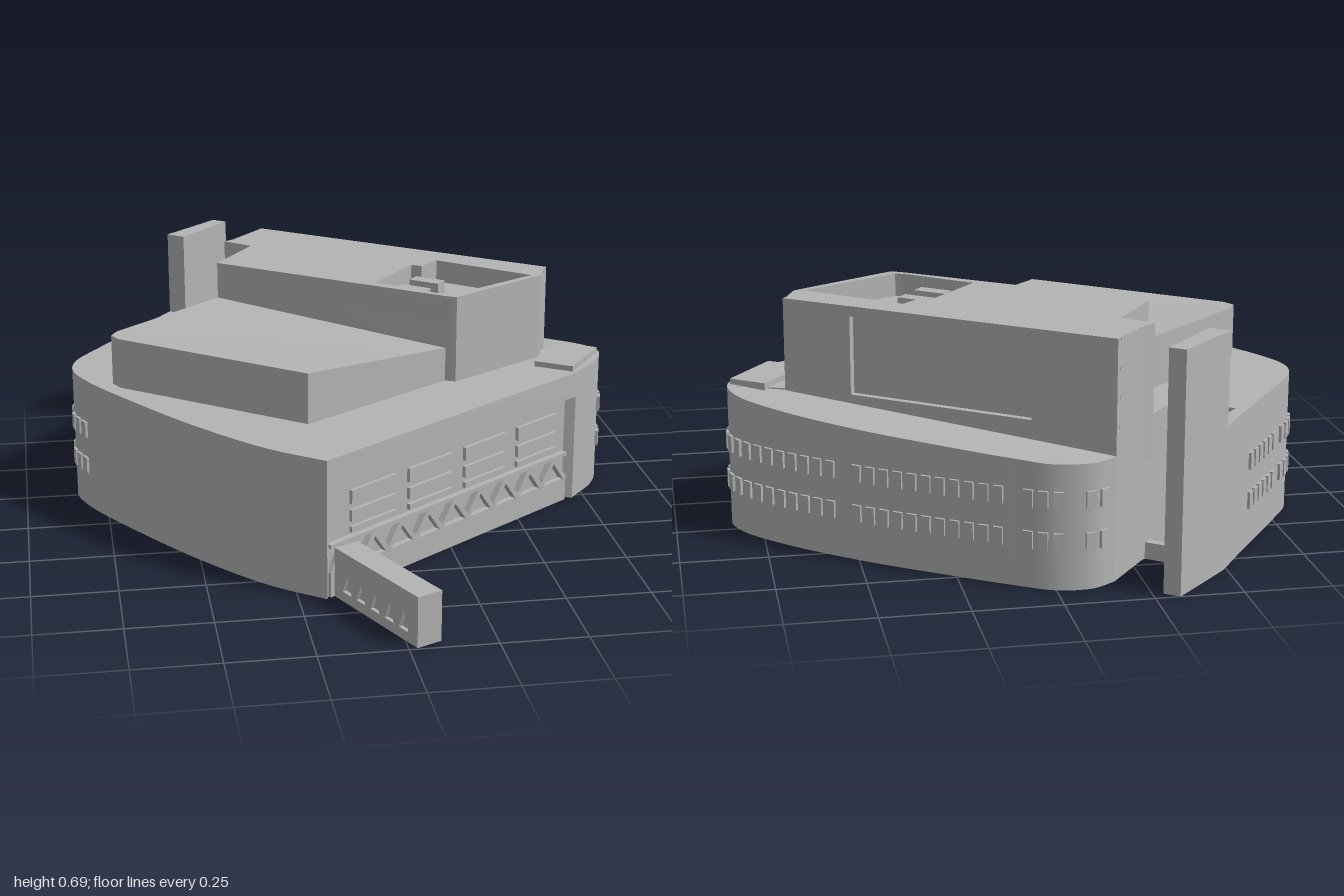
import * as THREE from 'three';
import { toCreasedNormals } from 'three/addons/utils/BufferGeometryUtils.js';

const concrete = new THREE.MeshStandardMaterial({ color: 0xb4b4b4 });
concrete.name = 'concrete grey';

const shapeOf = (pts, flip = 1) => new THREE.Shape(pts.map(([a, b]) => new THREE.Vector2(a, b * flip)));

function add(parent, name, geometry) {
  const mesh = new THREE.Mesh(geometry, concrete);
  mesh.name = name;
  parent.add(mesh);
  return mesh;
}

// Upright prism over a plan outline of [x, z] points; topAt may give a sloping top
function prism(parent, name, pts, y0, y1, { hole, topAt } = {}) {
  const shape = shapeOf(pts, -1);
  if (hole) shape.holes.push(shapeOf(hole, -1));
  const g = new THREE.ExtrudeGeometry(shape, { depth: y1 - y0, bevelEnabled: false });
  g.rotateX(-Math.PI / 2).translate(0, y0, 0);
  if (topAt) {
    const p = g.attributes.position;
    for (let i = 0; i < p.count; i++) {
      if (p.getY(i) > y1 - 1e-4) p.setY(i, topAt(p.getX(i), p.getZ(i)));
    }
  }
  return add(parent, name, toCreasedNormals(g, 0.45));
}

// Group whose local x runs along a wall and local z points out of it
function wallGroup(parent, name, x, z, nx, nz) {
  const group = new THREE.Group();
  group.name = name;
  group.position.set(x, 0, z);
  group.rotation.y = Math.atan2(nx, nz);
  parent.add(group);
  return group;
}

function box(parent, name, w, h, d, x, y, z) {
  const mesh = add(parent, name, new THREE.BoxGeometry(w, h, d));
  mesh.position.set(x, y, z);
  return mesh;
}

const curveOf = (pts) => new THREE.CatmullRomCurve3(pts.map(([x, z]) => new THREE.Vector3(x, 0, z)), false, 'centripetal');

// Two rows of windows along a curved wall
function windows(parent, name, curve, from, to, count, side, skip) {
  for (let i = 0; i < count; i++) {
    if (skip.includes(i)) continue;
    const u = from + (to - from) * i / (count - 1);
    const p = curve.getPointAt(u), t = curve.getTangentAt(u);
    const bay = wallGroup(parent, name, p.x, p.z, -t.z * side, t.x * side);
    for (const y of [0.14, 0.258]) box(bay, 'window', 0.028, 0.05, 0.016, 0, y, 0);
  }
}

export function createModel() {
  const model = new THREE.Group();
  model.name = 'building';

  // Curved outer walls, both from front to back
  const leftCurve = curveOf([[-0.17, 0.65], [-0.32, 0.53], [-0.5, 0.32], [-0.68, 0.06], [-0.8, -0.14],
    [-0.838, -0.25], [-0.825, -0.34], [-0.75, -0.46], [-0.6, -0.67], [-0.49, -0.83]]);
  const rightCurve = curveOf([[0.71, 0.02], [0.8, -0.09], [0.835, -0.18], [0.81, -0.27], [0.7, -0.4],
    [0.5, -0.57], [0.3, -0.71], [0.1, -0.84], [0, -0.895], [-0.1, -0.9], [-0.17, -0.86]]);
  const leftPts = leftCurve.getPoints(54).map((p) => [p.x, p.z]);
  const rightPts = rightCurve.getPoints(60).map((p) => [p.x, p.z]);
  const split = 12; // where the sloping back roof starts

  // Main storeys, with the front set back under the roof edge and a notch for the court
  const court = [[-0.45, -0.79], [-0.56, -0.67], [-0.42, -0.55], [-0.31, -0.69], [-0.28, -0.72]];
  const plan = [...leftPts, ...court, [-0.17, -0.86], [0.66, -0.24], ...rightPts.slice(0, split + 1).reverse()];
  prism(model, 'lowerStoreys', [...plan, [0.678, 0.011], [-0.158, 0.617]], 0, 0.34);
  prism(model, 'roofBand', plan, 0.34, 0.42);
  prism(model, 'backWing', [[0.66, -0.24], ...rightPts.slice(split)], 0, 0.42, {
    topAt: (x, z) => 0.42 - 0.06 * THREE.MathUtils.clamp((-0.18 - z) / 0.7, 0, 1),
  });
  prism(model, 'courtSill', [[-0.49, -0.83], [-0.47, -0.84], [-0.29, -0.7], [-0.31, -0.68]], 0, 0.05);

  // Roof blocks
  prism(model, 'hallRoof', [[-0.36, -0.45], [0.29, 0.03], [-0.18, 0.35], [-0.7, -0.06], [-0.72, -0.1], [-0.7, -0.14]],
    0.41, 0.575, { topAt: (x) => (x > 0.2 ? 0.525 : 0.575) });
  const tower = [[-0.36, -0.45], [0.29, 0.03], [0.32, 0.045], [0.63, -0.15], [0.658, -0.224],
    [-0.182, -0.844], [-0.28, -0.73], [-0.31, -0.71], [-0.23, -0.64]];
  const well = [[0.1, -0.15], [0.25, -0.33], [0.28, -0.31], [0.34, -0.37], [0.6, -0.155], [0.31, 0.015], [0.28, 0]];
  prism(model, 'upperBlock', tower, 0.3, 0.62);
  prism(model, 'upperParapet', tower, 0.62, 0.69, { hole: well });
  for (const [x, z] of [[0.22, -0.14], [0.28, -0.22]]) {
    box(model, 'roofUnit', 0.1, 0.05, 0.045, x, 0.645, z).rotation.y = -0.66;
  }
  prism(model, 'cornerRoofPlate', [[0.595, -0.06], [0.73, -0.235], [0.825, -0.165], [0.7, 0.01]], 0.41, 0.437);

  // Back face of the upper block with its sunken panel
  const back = wallGroup(model, 'backFace', 0.67, -0.24, 0.594, -0.805);
  const face = shapeOf([[0, 0.32], [1.044, 0.32], [1.044, 0.69], [0, 0.69]]);
  face.holes.push(shapeOf([[0.22, 0.43], [0.22, 0.66], [0.79, 0.66], [0.79, 0.43]]));
  add(back, 'panelFrame', new THREE.ExtrudeGeometry(face, { depth: 0.02, bevelEnabled: false })).position.z = -0.02;

  // Tall blade wall at the back
  prism(model, 'bladeWall', [[-0.32, -1], [-0.28, -0.97], [-0.44, -0.79], [-0.49, -0.83]], 0, 0.69);

  // Front facade: plinth, zigzag truss and window bars
  const front = wallGroup(model, 'frontFacade', -0.17, 0.65, 0.587, 0.81);
  box(front, 'plinth', 1.04, 0.075, 0.02, 0.535, 0.0375, -0.011);
  box(front, 'trussRail', 1.04, 0.012, 0.022, 0.535, 0.155, -0.011);
  const bays = 9, pitch = 1.03 / bays, rise = 0.075;
  for (let i = 0; i < bays; i++) {
    for (const s of [-1, 1]) {
      const bar = box(front, 'trussBar', Math.hypot(pitch / 2, rise), 0.016, 0.022,
        0.02 + pitch * (i + 0.5 + s * 0.25), 0.112, -0.01);
      bar.rotation.z = -s * Math.atan2(rise, pitch / 2);
    }
  }
  for (const x of [0.2, 0.438, 0.68, 0.92]) {
    for (const [y, h] of [[0.277, 0.042], [0.22, 0.035], [0.178, 0.018]]) {
      box(front, 'windowBar', 0.185, h, 0.016, x, y, -0.016);
    }
  }

  // Windows on the curved sides
  windows(model, 'rightWindows', rightCurve, 0.13, 0.97, 31, 1, [12, 24, 28]);
  windows(model, 'leftWindows', leftCurve, 0.57, 0.88, 15, -1, [3, 8]);

  // Low front wall with sunken triangles on both sides
  const ramp = wallGroup(model, 'entranceWall', -0.11, 0.615, 0.9, -0.42);
  ramp.rotation.y = Math.atan2(0.905, -0.425);
  const length = 0.4;
  box(ramp, 'wallCore', length, 0.15, 0.056, -length / 2, 0.075, 0);
  const side = shapeOf([[-length, 0], [0, 0], [0, 0.15], [-length, 0.15]]);
  for (let i = 0; i < 5; i++) {
    const x = -0.335 + i * 0.068;
    side.holes.push(shapeOf([[x - 0.022, 0.03], [x, 0.085], [x + 0.022, 0.03]]));
  }
  const sideGeometry = new THREE.ExtrudeGeometry(side, { depth: 0.012, bevelEnabled: false });
  for (const z of [0.028, -0.04]) add(ramp, 'piercedSide', sideGeometry).position.z = z;

  return model;
}
